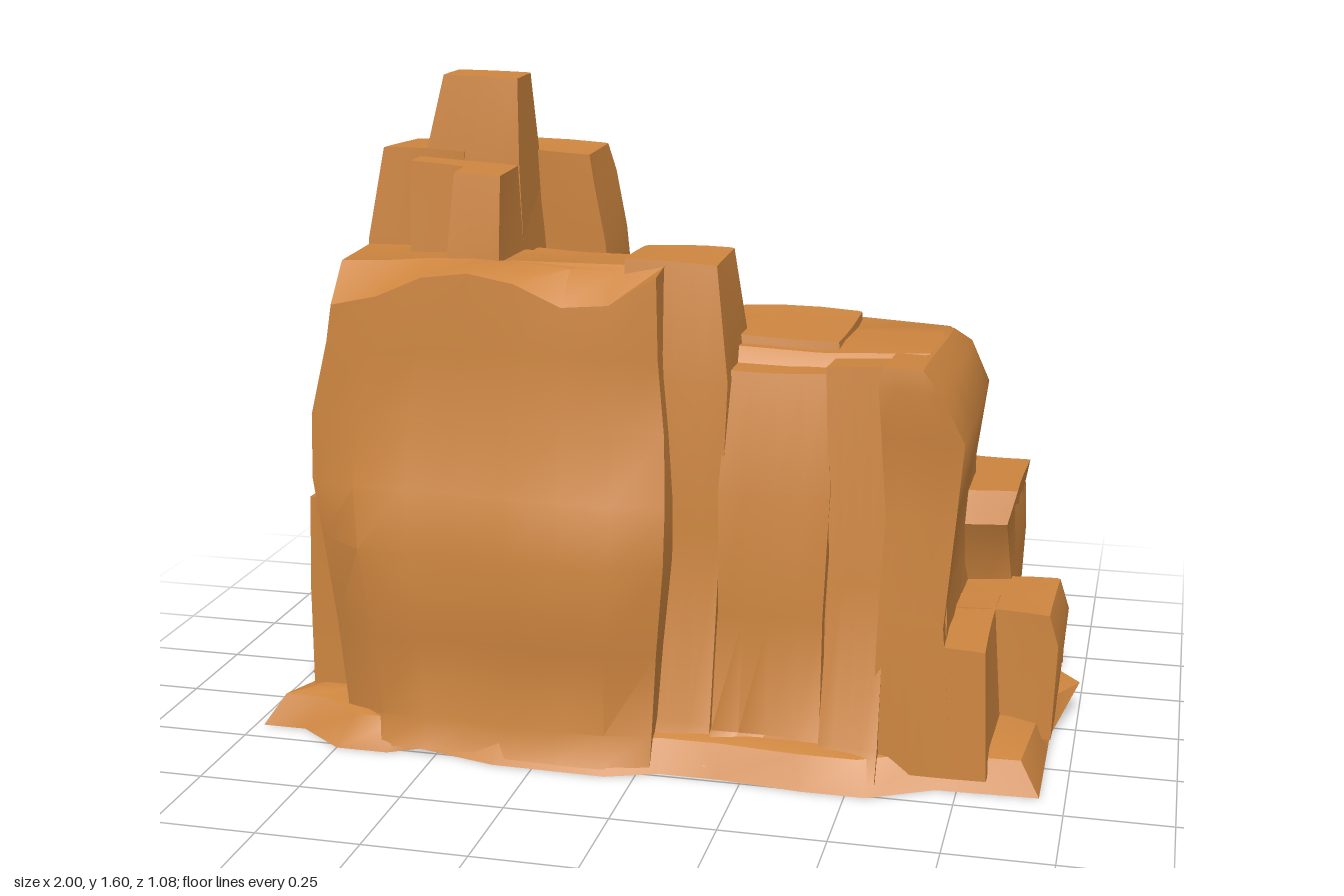
import * as THREE from 'three';
import { toCreasedNormals } from 'three/addons/utils/BufferGeometryUtils.js';

const material = new THREE.MeshStandardMaterial({ color: 0xcd853f });

// Skin a stack of closed rings (counter-clockwise from above) and cap both ends
function loft(rings, crease = 0.6) {
  const n = rings[0].length;
  const positions = [];
  const index = [];
  rings.forEach(ring => ring.forEach(p => positions.push(...p)));
  for (let r = 0; r < rings.length - 1; r++) {
    for (let i = 0; i < n; i++) {
      const a = r * n + i, b = r * n + (i + 1) % n;
      index.push(a, b, b + n, a, b + n, a + n);
    }
  }
  for (const [r, up] of [[0, false], [rings.length - 1, true]]) {
    const ring = rings[r];
    const center = positions.length / 3;
    positions.push(...[0, 1, 2].map(k => ring.reduce((s, p) => s + p[k], 0) / n));
    for (let i = 0; i < n; i++) {
      const a = r * n + i, b = r * n + (i + 1) % n;
      if (up) index.push(a, b, center); else index.push(b, a, center);
    }
  }
  const geometry = new THREE.BufferGeometry();
  geometry.setAttribute('position', new THREE.Float32BufferAttribute(positions, 3));
  geometry.setIndex(index);
  return toCreasedNormals(geometry, crease);
}

// Smooth weathering offset, the same wherever blocks meet
function weather([x, y, z], amount) {
  return [
    x + amount * Math.sin(7 * y + 5 * z + 1),
    y + amount * Math.sin(9 * x + 6 * z) * (y > 0.1 ? 1 : 0),
    z + amount * Math.sin(8 * x + 6 * y + 2)
  ];
}

// Block section with one chamfered back corner and extra points along each side
function sectionRing([y, x0, x1, z0, z1, cut = 0.005], amount) {
  const corners = [[x0, z1], [x1, z1], [x1, z0 + cut], [x1 - 2 * cut, z0], [x0, z0]];
  const steps = 4;
  return corners.flatMap(([x, z], i) => {
    const [nx, nz] = corners[(i + 1) % corners.length];
    return Array.from({ length: steps }, (_, s) =>
      weather([x + (nx - x) * s / steps, y, z + (nz - z) * s / steps], amount));
  });
}

// Front wall sections: [y, xMin, xMax, zMin, zFront, bulge, scallop]
const wallSections = [
  [0.02, -0.75, 0.03, 0.1, 0.43, 0.1, 0], [0.09, -0.75, 0.03, 0.1, 0.43, 0.065, 0],
  [0.3, -0.77, 0.045, 0.1, 0.43, 0.09, 0], [0.52, -0.8, 0.065, 0.12, 0.43, 0.11, 0],
  [0.66, -0.82, 0.065, 0.13, 0.43, 0.075, 0], [0.82, -0.815, 0.055, 0.14, 0.43, 0.015, 0],
  [1.0, -0.77, 0.04, 0.15, 0.43, 0.012, 0], [1.13, -0.755, 0.035, 0.16, 0.43, 0, 1],
  [1.19, -0.755, 0.035, 0.16, 0.35, 0, 0.2]
];
const wallBulge = [0, 0.8, 0.85, 0.75, 0.95, 1, 1, 0.6];
const wallScallop = [-0.04, -0.015, 0.035, 0.05, 0.03, -0.02, -0.01, 0.06];

// Undulating front edge closed by a straight back edge
function wallRing([y, x0, x1, z0, z1, bulge, scallop]) {
  const last = wallBulge.length - 1;
  const front = wallBulge.map((b, i) =>
    [x0 + (x1 - x0) * i / last, y + scallop * wallScallop[i], z1 + bulge * b]);
  return [...front, [x1, y, z0], [x0, y, z0]];
}

// Each block is a list of sections: [y, xMin, xMax, zMin, zMax, back corner cut]
const blocks = {
  core: [
    [0.05, -0.74, 0.72, -0.3, 0.4], [0.6, -0.74, 0.7, -0.22, 0.36],
    [0.66, -0.4, 0.7, -0.21, 0.36], [0.88, -0.4, 0.68, -0.22, 0.33], [0.95, -0.4, 0.67, -0.2, 0.3],
    [1.0, -0.4, 0.64, -0.12, 0.25]
  ],
  backFace: [
    [0.3, -0.12, 0.32, -0.33, 0], [0.55, -0.1, 0.31, -0.28, 0], [0.75, -0.1, 0.3, -0.27, 0],
    [0.88, -0.1, 0.3, -0.29, 0], [0.95, -0.09, 0.29, -0.26, 0], [0.995, -0.08, 0.28, -0.16, 0]
  ],
  wallShoulder: [
    [0.03, -0.05, 0.165, 0.1, 0.46], [0.12, -0.05, 0.165, 0.1, 0.42], [0.6, -0.05, 0.175, 0.1, 0.4],
    [0.95, -0.05, 0.195, 0.15, 0.39], [1.21, -0.05, 0.165, 0.16, 0.35]
  ],
  wallSaddle: [[0.6, -0.38, -0.06, 0.02, 0.3], [1.0, -0.38, -0.2, 0.05, 0.3], [1.18, -0.38, -0.22, 0.06, 0.3]],
  saddleBack: [[0.6, -0.3, 0.05, 0.1, 0.3], [1.0, -0.3, 0.05, 0.15, 0.3], [1.185, -0.3, 0.05, 0.16, 0.3]],
  frontColumn: [
    [0.03, 0.16, 0.44, 0.2, 0.48], [0.1, 0.17, 0.43, 0.2, 0.43], [0.4, 0.18, 0.43, 0.2, 0.41],
    [0.7, 0.17, 0.43, 0.2, 0.41], [0.97, 0.19, 0.42, 0.2, 0.35]
  ],
  cornerRib: [
    [0.03, 0.43, 0.57, 0.2, 0.49], [0.1, 0.43, 0.57, 0.2, 0.44],
    [0.5, 0.44, 0.57, 0.2, 0.42], [0.99, 0.42, 0.56, 0.23, 0.37]
  ],
  cornerBlock: [
    [0.04, 0.55, 0.74, -0.22, 0.43], [0.4, 0.56, 0.71, -0.22, 0.43], [0.65, 0.56, 0.72, -0.2, 0.42],
    [0.84, 0.55, 0.74, -0.23, 0.42], [0.95, 0.55, 0.69, -0.2, 0.43], [1.0, 0.56, 0.65, -0.1, 0.42]
  ],
  summitSlab: [[0.9, 0.03, 0.43, -0.13, 0.24], [1.02, 0.04, 0.42, -0.1, 0.22]],
  tower: [
    [0.5, -0.62, -0.2, -0.28, 0.02, 0.06], [0.75, -0.62, -0.19, -0.27, 0.02, 0.06],
    [0.94, -0.62, -0.19, -0.28, 0.01, 0.07], [1.03, -0.62, -0.19, -0.33, 0, 0.12],
    [1.2, -0.62, -0.2, -0.27, 0, 0.08], [1.34, -0.62, -0.22, -0.24, 0, 0.05], [1.41, -0.61, -0.23, -0.17, 0]
  ],
  towerFlank: [
    [0.5, -0.76, -0.5, -0.12, 0.18], [0.9, -0.77, -0.5, -0.13, 0.18],
    [1.2, -0.75, -0.5, -0.11, 0.17], [1.42, -0.71, -0.5, -0.08, 0.16]
  ],
  towerFoot: [[1.0, -0.62, -0.36, 0, 0.26], [1.4, -0.615, -0.365, 0, 0.23]],
  towerFront: [[1.0, -0.49, -0.35, 0, 0.37], [1.22, -0.485, -0.355, 0, 0.35], [1.4, -0.48, -0.365, 0, 0.31]],
  spire: [[1.0, -0.615, -0.355, -0.02, 0.17], [1.4, -0.605, -0.365, -0.015, 0.16], [1.6, -0.565, -0.38, 0.01, 0.13]],
  backLeftButtress: [
    [0.04, 0.33, 0.82, -0.44, -0.1], [0.4, 0.32, 0.82, -0.44, -0.1],
    [0.52, 0.31, 0.82, -0.42, -0.1], [0.59, 0.31, 0.81, -0.36, -0.1]
  ],
  backRidge: [[0.5, 0.42, 0.56, -0.3, 0], [0.65, 0.42, 0.56, -0.28, 0], [0.84, 0.42, 0.57, -0.34, 0], [0.95, 0.42, 0.56, -0.23, 0]],
  backLedge: [[0.04, -0.4, 0.36, -0.45, -0.1], [0.2, -0.4, 0.35, -0.43, -0.1], [0.31, -0.4, 0.34, -0.41, -0.1]],
  backSlope: [[0.28, -0.38, 0.3, -0.38, -0.1], [0.4, -0.37, 0.15, -0.31, -0.1], [0.52, -0.36, -0.08, -0.27, -0.1]],
  backPost: [[0.04, 0.2, 0.34, -0.47, -0.3], [0.34, 0.2, 0.34, -0.45, -0.3]],
  backRightButtress: [
    [0.04, -0.86, -0.36, -0.43, 0.1], [0.4, -0.87, -0.36, -0.44, 0.1], [0.605, -0.86, -0.37, -0.39, 0.1]
  ],
  rightLedge: [[0.04, -0.88, -0.6, -0.3, 0.33], [0.35, -0.87, -0.6, -0.3, 0.34], [0.58, -0.87, -0.6, -0.28, 0.35]],
  rightFoot: [[0.04, -0.97, -0.7, -0.2, 0.1], [0.28, -0.94, -0.7, -0.2, 0.1], [0.35, -0.89, -0.7, -0.17, 0.08]],
  rightCornerFoot: [[0.04, -0.93, -0.67, -0.45, -0.28], [0.34, -0.92, -0.67, -0.44, -0.28]],
  leftBlock: [
    [0.04, 0.6, 0.82, -0.41, -0.1], [0.35, 0.6, 0.82, -0.4, -0.08],
    [0.52, 0.6, 0.82, -0.38, 0.01], [0.6, 0.6, 0.84, -0.36, -0.02]
  ],
  leftFoot: [[0.04, 0.65, 0.94, -0.1, 0.16], [0.28, 0.65, 0.96, -0.1, 0.16], [0.355, 0.65, 0.94, -0.1, 0.16]],
  leftFootWall: [[0.04, 0.65, 0.82, 0.05, 0.43], [0.355, 0.69, 0.81, 0.05, 0.43]]
};

// Ragged ground outline [x, z], counter-clockwise from above
const outline = [
  [-0.98, 0.43], [-0.87, 0.43], [-0.75, 0.52], [-0.62, 0.52], [-0.55, 0.48], [-0.35, 0.53], [-0.07, 0.535],
  [0.05, 0.49], [0.2, 0.49], [0.4, 0.51], [0.55, 0.51], [0.7, 0.43], [0.94, 0.42],
  [0.96, 0.16], [0.95, 0.05], [1.0, -0.12], [0.9, -0.25], [0.94, -0.46],
  [0.85, -0.43], [0.68, -0.49], [0.57, -0.46], [0.3, -0.47], [-0.22, -0.47], [-0.35, -0.54], [-0.5, -0.54],
  [-0.62, -0.47], [-0.75, -0.44], [-0.9, -0.44], [-1.0, -0.46],
  [-0.95, -0.38], [-1.0, -0.2], [-1.0, 0.07], [-0.92, 0.15], [-0.93, 0.3]
];

export function createModel() {
  const group = new THREE.Group();
  group.name = 'rockFormation';
  const add = (name, geometry) => {
    const mesh = new THREE.Mesh(geometry, material);
    mesh.name = name;
    group.add(mesh);
  };

  // Spreading foot: slopes in at the front, lifts to a lip at the back
  const bottom = outline.map(([x, z]) => [Math.min(x, 0.94), 0.005, Math.max(z, -0.465)]);
  const lip = outline.map(([x, z]) => z > 0 ? [x * 0.95, 0.08, z * 0.92] : [x < 0 ? x * 0.985 : x, 0.085, z]);
  const shelf = outline.map(([x, z]) => [x * 0.88, 0.095, z * 0.85]);
  add('base', loft([bottom, lip, shelf]));

  // Stacked crags
  add('frontWall', loft(wallSections.map(wallRing)));
  for (const [name, sections] of Object.entries(blocks)) {
    const amount = name === 'spire' ? 0.004 : 0.008;
    add(name, loft(sections.map(s => sectionRing(s, amount))));
  }
  return group;
}
